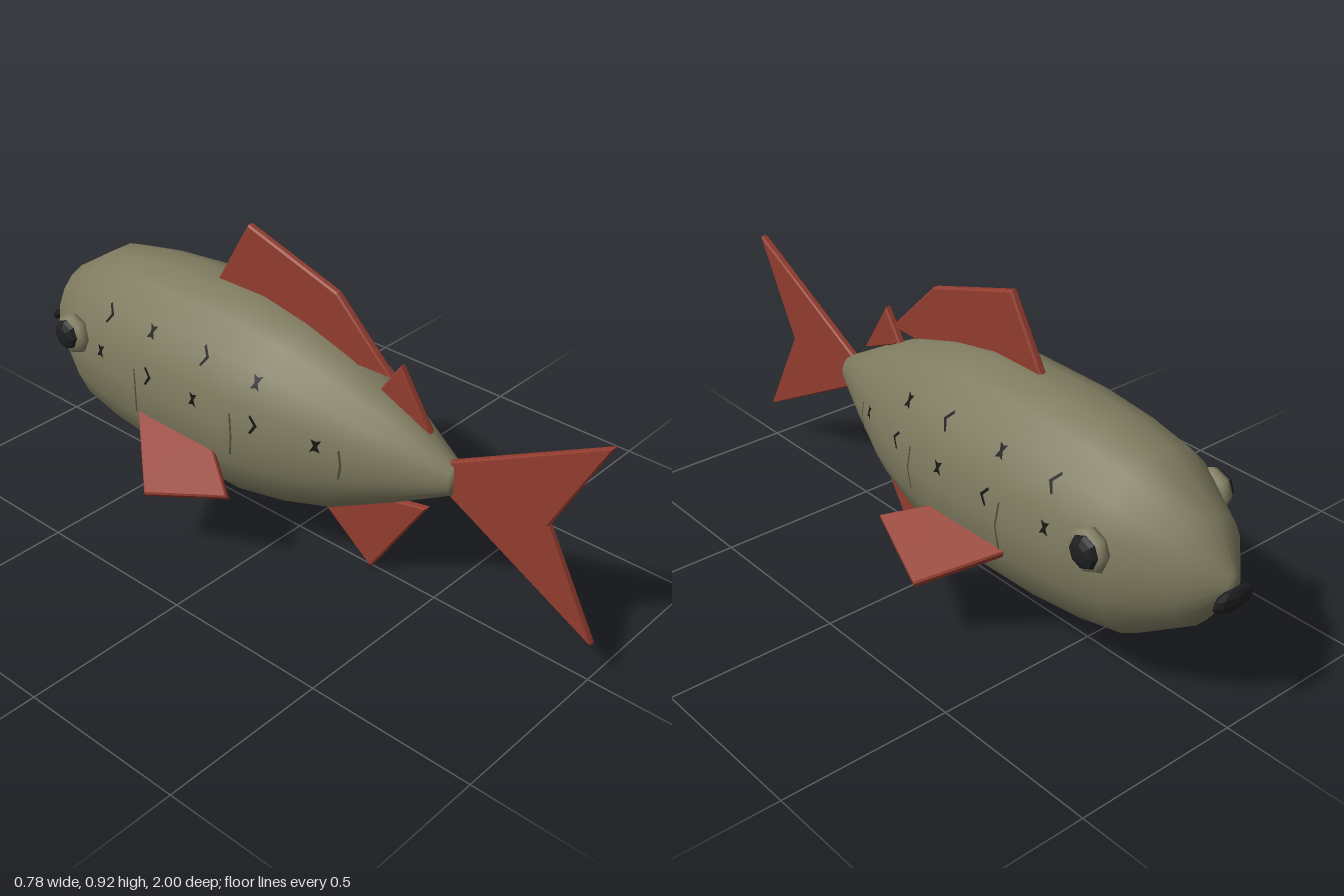
import * as THREE from 'three';

const mat = (name, color, double) => {
  const m = new THREE.MeshStandardMaterial({ color });
  m.name = name;
  if (double) m.side = THREE.DoubleSide;
  return m;
};

// Body profile: [z, half height], nose to tail
const PROFILE = [[-0.98, 0], [-0.975, 0.032], [-0.89, 0.154], [-0.72, 0.265], [-0.58, 0.292], [-0.41, 0.309],
  [-0.12, 0.313], [0.04, 0.283], [0.2, 0.234], [0.38, 0.141], [0.55, 0.046], [0.552, 0]];
const CENTRE_Y = 0.413, WIDTH = 0.8;

// Half width of the body at a given z and y
function surfaceX(z, y) {
  let i = 0;
  while (i < PROFILE.length - 2 && z > PROFILE[i + 1][0]) i++;
  const [z0, r0] = PROFILE[i], [z1, r1] = PROFILE[i + 1];
  const r = r0 + (r1 - r0) * (z - z0) / (z1 - z0);
  return WIDTH * Math.sqrt(Math.max(0, r * r - (y - CENTRE_Y) ** 2));
}

const shapeOf = pts => new THREE.Shape(pts.map(p => new THREE.Vector2(...p)));

// Thin slab with slightly bevelled edges, centred on its own plane
function slab(pts, thickness = 0.024) {
  const b = 0.005;
  const g = new THREE.ExtrudeGeometry(shapeOf(pts), {
    depth: thickness - 2 * b, bevelEnabled: true, bevelSize: b, bevelOffset: -b, bevelThickness: b, bevelSegments: 1,
  });
  return g.translate(0, 0, b - thickness / 2);
}

// Flat outline in (z, y) laid onto the flank of the body
function decal(pts, side, lift = 0.007) {
  const g = new THREE.ShapeGeometry(shapeOf(pts));
  const p = g.attributes.position;
  for (let i = 0; i < p.count; i++) {
    const z = p.getX(i), y = p.getY(i);
    p.setXYZ(i, side * (surfaceX(z, y) + lift), y, z);
  }
  g.computeVertexNormals();
  return g;
}

export function createModel() {
  const group = new THREE.Group();
  const olive = mat('olive skin', 0x7f7b60);
  const red = mat('rust red fin', 0x923c2e);
  const black = mat('black', 0x1e1f21);
  const spotBlack = mat('spot black', 0x151515, true);
  const lineOlive = mat('dark olive line', 0x4c4a38, true);
  olive.flatShading = false;
  black.flatShading = true;

  const add = (name, geometry, material) => {
    const m = new THREE.Mesh(geometry, material);
    m.name = name;
    group.add(m);
    return m;
  };

  // Body
  const body = new THREE.LatheGeometry(PROFILE.map(([z, r]) => new THREE.Vector2(r, z)), 18, Math.PI / 18);
  body.rotateX(Math.PI / 2).scale(WIDTH, 1, 1).translate(0, CENTRE_Y, 0);
  add('body', body, olive);

  // Upright fins, outlines in (z, y)
  const fins = {
    tailFin: [[0.52, 0.37], [1, 0.118], [0.845, 0.413], [1, 0.71], [0.52, 0.46]],
    dorsalFin: [[0.33, 0.637], [0.14, 0.82], [-0.18, 0.917], [-0.315, 0.69], [0.15, 0.63]],
    adiposeFin: [[0.465, 0.52], [0.36, 0.685], [0.295, 0.59]],
    analFin: [[0.465, 0.285], [0.28, 0], [0.06, 0.17], [0.15, 0.22]],
  };
  for (const [name, pts] of Object.entries(fins)) {
    add(name, slab(pts).rotateY(-Math.PI / 2), red);
  }

  const bowtie = (z, y) => [[-0.014, -0.018], [0, -0.013], [0.014, -0.018], [0.005, 0], [0.014, 0.018],
    [0, 0.013], [-0.014, 0.018], [-0.005, 0]].map(([a, b]) => [z + a, y + b]);
  const chevron = (z, y) => [[0.016, 0], [-0.009, 0.026], [-0.014, 0.02], [0.005, 0],
    [-0.01, -0.026], [-0.003, -0.028]].map(([a, b]) => [z + a, y + b]);
  const spots = [
    [bowtie, 0.02, 0.58], [chevron, -0.16, 0.6], [bowtie, -0.37, 0.597], [chevron, -0.555, 0.587],
    [bowtie, 0.22, 0.46], [chevron, 0.035, 0.47], [bowtie, -0.17, 0.477], [chevron, -0.355, 0.477], [bowtie, -0.565, 0.475],
  ];
  const flankLines = [[0.28, 0.415, 0.045], [-0.04, 0.415, 0.065], [-0.41, 0.41, 0.07]];
  const tilt = Math.atan(0.8), slope = Math.cos(tilt);

  for (const side of [1, -1]) {
    const label = side > 0 ? 'left' : 'right';

    // Pectoral fin: outline in (z, x), tilted downward away from the body
    const outline = [[-0.44, 0.21], [-0.235, 0.385], [0.015, 0.305], [-0.16, 0.2]].map(([z, x]) => [z, (x - 0.2) / slope]);
    const basis = new THREE.Matrix4().makeBasis(
      new THREE.Vector3(0, 0, 1),
      new THREE.Vector3(side * slope, -Math.sin(tilt), 0),
      new THREE.Vector3(Math.sin(tilt), side * slope, 0),
    ).setPosition(side * 0.2, 0.345, 0);
    add(label + 'PectoralFin', slab(outline).applyMatrix4(basis), red);

    // Eye and pupil
    const eye = new THREE.SphereGeometry(1, 8, 6).rotateZ(Math.PI / 2).scale(0.032, 0.065, 0.065);
    add(label + 'Eye', eye, olive).position.set(side * 0.218, 0.475, -0.705);
    const pupil = new THREE.SphereGeometry(1, 8, 6).rotateZ(Math.PI / 2).scale(0.022, 0.047, 0.047);
    add(label + 'Pupil', pupil, black).position.set(side * 0.24, 0.478, -0.71);

    // Spots and faint flank lines
    spots.forEach(([make, z, y], i) => add(label + 'Spot' + (i + 1), decal(make(z, y), side), spotBlack));
    flankLines.forEach(([z, y, h], i) => {
      const pts = [[z - 0.003, y - h], [z + 0.003, y - h], [z + 0.011, y], [z + 0.003, y + h], [z - 0.003, y + h], [z + 0.005, y]];
      add(label + 'FlankLine' + (i + 1), decal(pts, side), lineOlive);
    });
  }

  // Mouth
  const mouth = new THREE.SphereGeometry(1, 8, 6).scale(0.075, 0.032, 0.02);
  add('mouth', mouth, black).position.set(0, 0.38, -0.98);

  return group;
}
